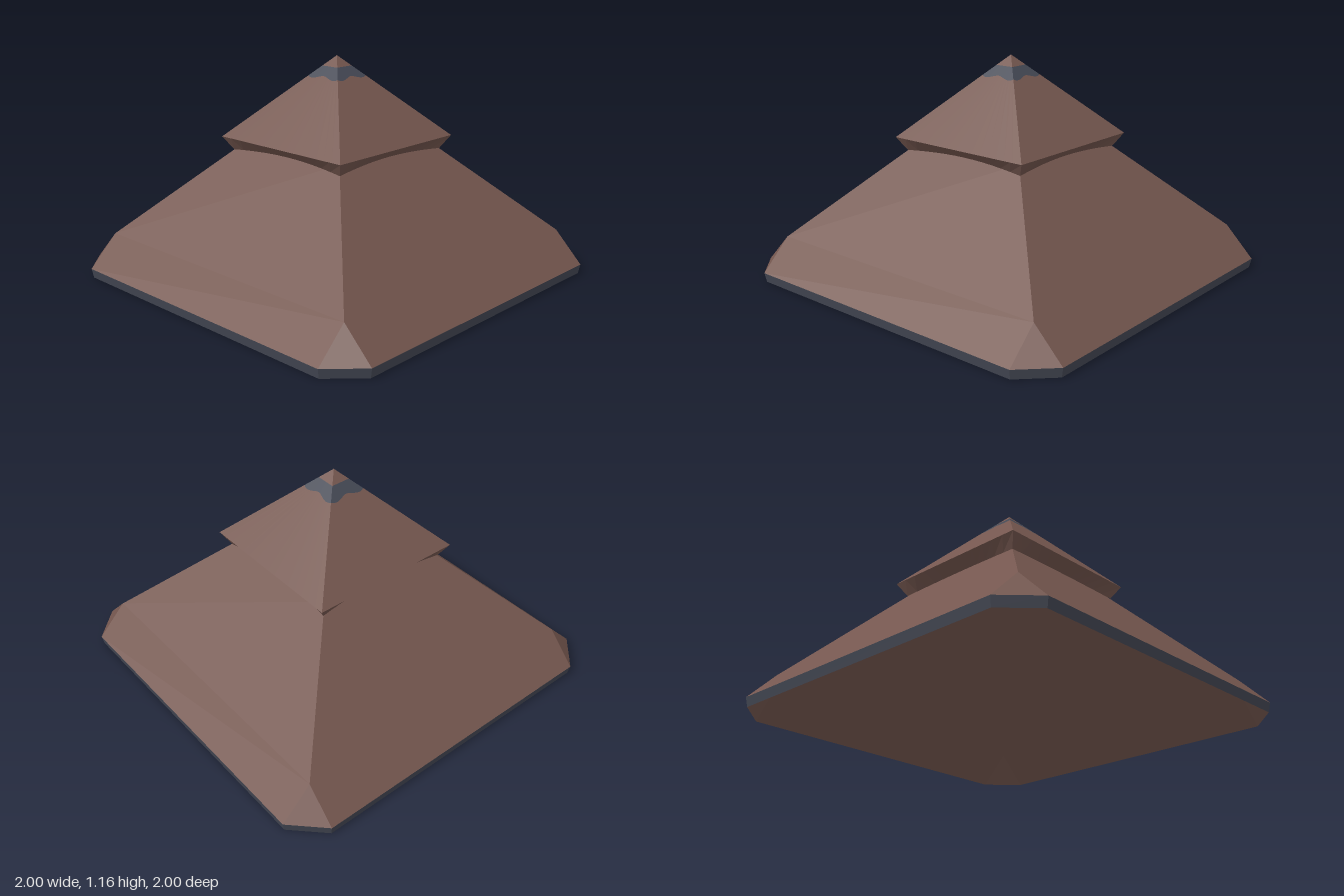
import * as THREE from 'three';

const brown = new THREE.MeshStandardMaterial({ color: 0x75574f });
brown.name = 'brown tiles';
const slate = new THREE.MeshStandardMaterial({ color: 0x444854 });
slate.name = 'slate trim';

// A row maps t in [-1, 1] to a point, running left to right seen from outside.
const edge = (z, y, half = z) => (t) => [half * t, y, z];
const corner = (z, y, half) => (t) => {
  const k = (t + 1) / 2;
  return [half + (z - half) * k, y, z + (half - z) * k];
};

// Joins rows (bottom to top faces outward, top to bottom faces inward) and repeats them on all four sides.
function fourSides(name, material, rows, segments = 1) {
  const pos = [];
  const tri = (...points) => {
    const [a, b, c] = points.map((p) => new THREE.Vector3(...p));
    const area = b.clone().sub(a).cross(c.clone().sub(a)).length();
    if (area > 1e-9) pos.push(...a.toArray(), ...b.toArray(), ...c.toArray());
  };
  for (let r = 0; r < rows.length - 1; r++) {
    for (let i = 0; i < segments; i++) {
      const t0 = -1 + (2 * i) / segments;
      const t1 = -1 + (2 * (i + 1)) / segments;
      const a = rows[r](t0), b = rows[r](t1);
      const c = rows[r + 1](t1), d = rows[r + 1](t0);
      tri(a, b, c);
      tri(a, c, d);
    }
  }
  const geometry = new THREE.BufferGeometry();
  geometry.setAttribute('position', new THREE.Float32BufferAttribute(pos, 3));
  geometry.computeVertexNormals();
  const group = new THREE.Group();
  group.name = name;
  for (let s = 0; s < 4; s++) {
    const mesh = new THREE.Mesh(geometry, material);
    mesh.name = name + 'Side';
    mesh.rotation.y = (s * Math.PI) / 2;
    group.add(mesh);
  }
  return group;
}

export function createModel() {
  const model = new THREE.Group();
  model.name = 'tieredRoof';

  // Lower roof with clipped corners
  model.add(
    fourSides('lowerRoof', brown, [edge(1, 0.05, 0.84), edge(0.84, 0.21), edge(0.34, 0.71)]),
    fourSides('clippedCorner', brown, [corner(1, 0.05, 0.84), () => [0.84, 0.21, 0.84]]),
  );

  // Slate rim around the lower eave
  model.add(
    fourSides('rim', slate, [edge(0.99, 0, 0.835), edge(1, 0.05, 0.84)]),
    fourSides('rimCorner', slate, [corner(0.99, 0, 0.835), corner(1, 0.05, 0.84)]),
  );

  // Hollow underside
  model.add(
    fourSides('underside', brown, [edge(0, 0.99), edge(0.835, 0.155), edge(0.99, 0, 0.835)]),
    fourSides('undersideCorner', brown, [() => [0.835, 0.155, 0.835], corner(0.99, 0, 0.835)]),
  );

  // Slanted soffit of the upper roof, its lower edge arched against the lower roof
  const arch = (t) => {
    const z = 0.382 - 0.02 * (1 - t * t);
    return [z * t, 1.052 - z, z];
  };
  model.add(fourSides('upperSoffit', brown, [arch, edge(0.425, 0.74)], 12));

  // Upper roof, a wavy slate collar and the tip, all on one slope
  const peak = 1.165;
  const wavy = (t) => {
    const z = 0.104 - 0.007 * Math.cos(t * Math.PI * 1.5);
    return [z * t, peak - z, z];
  };
  const collarTop = edge(0.053, peak - 0.053);
  model.add(
    fourSides('upperRoof', brown, [edge(0.425, 0.74), wavy], 16),
    fourSides('collar', slate, [wavy, collarTop], 16),
    fourSides('tip', brown, [collarTop, edge(0, peak)]),
  );

  return model;
}
